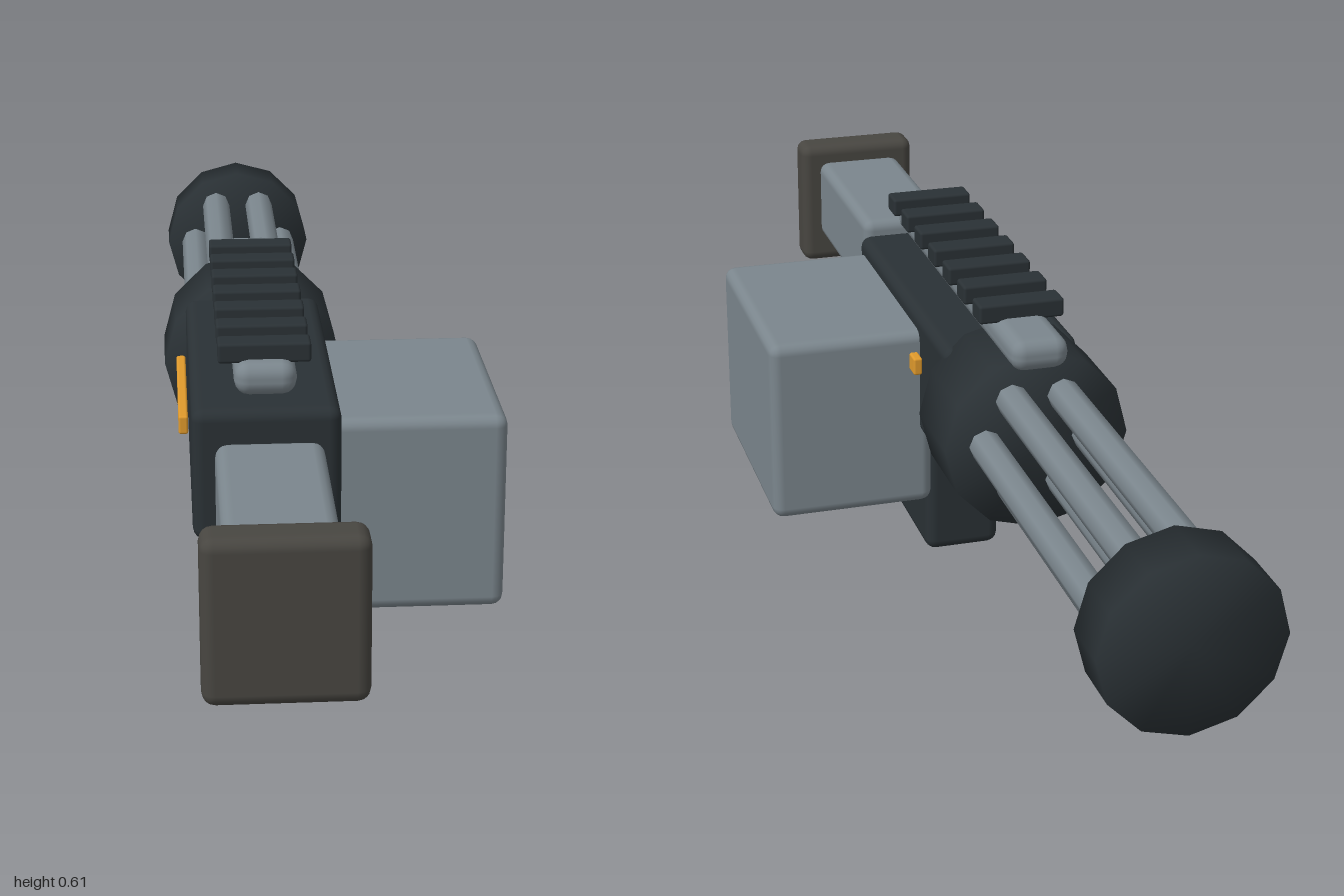
import * as THREE from 'three';
import { RoundedBoxGeometry } from 'three/addons/geometries/RoundedBoxGeometry.js';
import { mergeVertices } from 'three/addons/utils/BufferGeometryUtils.js';

const paint = (color) => new THREE.MeshStandardMaterial({ color });

export function createModel() {
  const model = new THREE.Group();
  const steel = paint(0x7b868d), dark = paint(0x2a3135), brown = paint(0x484641), amber = paint(0xe09a2c);
  const axisX = -0.115, axisY = 0.4;

  const add = (name, geometry, material, parent = model) => {
    const mesh = new THREE.Mesh(geometry, material);
    mesh.name = name;
    parent.add(mesh);
    return mesh;
  };

  // Rounded block given by its extents along each axis
  const block = (name, material, [x0, x1], [y0, y1], [z0, z1], radius = 0.02, parent = model) => {
    const geometry = new RoundedBoxGeometry(x1 - x0, y1 - y0, z1 - z0, 2, radius);
    const mesh = add(name, geometry, material, parent);
    mesh.position.set((x0 + x1) / 2, (y0 + y1) / 2, (z0 + z1) / 2);
    return mesh;
  };

  // Cylinder lying along z; soft ones share normals between side and caps
  const drum = (name, material, x, y, radius, z0, z1, sides, soft, parent = model) => {
    let geometry = new THREE.CylinderGeometry(radius, radius, z1 - z0, sides);
    geometry.rotateY(Math.PI / 2).rotateX(Math.PI / 2);
    if (soft) {
      geometry.deleteAttribute('normal');
      geometry.deleteAttribute('uv');
      geometry = mergeVertices(geometry);
      geometry.computeVertexNormals();
    }
    const mesh = add(name, geometry, material, parent);
    mesh.position.set(x, y, (z0 + z1) / 2);
    return mesh;
  };

  // Body, stock and grips
  block('receiver', dark, [-0.235, 0.005], [0.29, 0.515], [-0.15, 0.445]);
  block('stock', steel, [-0.2, -0.03], [0.342, 0.502], [0.54, 0.935]);
  block('buttPlate', brown, [-0.233, 0.005], [0.28, 0.535], [0.928, 1]);
  block('rearGrip', brown, [-0.175, -0.055], [0.056, 0.367], [0.372, 0.518]);
  block('lowerHousing', dark, [-0.172, -0.032], [0.002, 0.31], [0.09, 0.33]);
  block('ammoBox', steel, [-0.02, 0.275], [0.15, 0.487], [0.01, 0.425]);

  // Top rail with its row of teeth
  const rail = new THREE.Group();
  rail.name = 'topRail';
  model.add(rail);
  block('railBar', steel, [-0.165, -0.065], [0.53, 0.585], [-0.31, 0.43], 0.024, rail);
  for (let i = 0; i < 7; i++) {
    const z = -0.175 + i * 0.092;
    block('railTooth', dark, [-0.19, -0.041], [0.578, 0.611], [z - 0.023, z + 0.023], 0.005, rail);
  }

  // Amber strips on both flanks
  for (const side of [-1, 1]) {
    const x = axisX + side * 0.131;
    block('sideStrip', amber, [x - 0.008, x + 0.008], [0.418, 0.45], [-0.02, 0.29], 0.004);
  }

  // Rotor hub, barrel ring and muzzle cap
  drum('rotorHub', dark, axisX, axisY - 0.003, 0.16, -0.29, -0.13, 12, true);
  drum('muzzleCap', dark, axisX, axisY, 0.147, -1, -0.907, 12, true);
  const barrels = new THREE.Group();
  barrels.name = 'barrels';
  model.add(barrels);
  for (let i = 0; i < 6; i++) {
    const a = (i * Math.PI) / 3;
    drum('barrel', steel, axisX + 0.09 * Math.cos(a), axisY + 0.09 * Math.sin(a), 0.028, -0.95, -0.26, 8, false, barrels);
  }

  return model;
}
